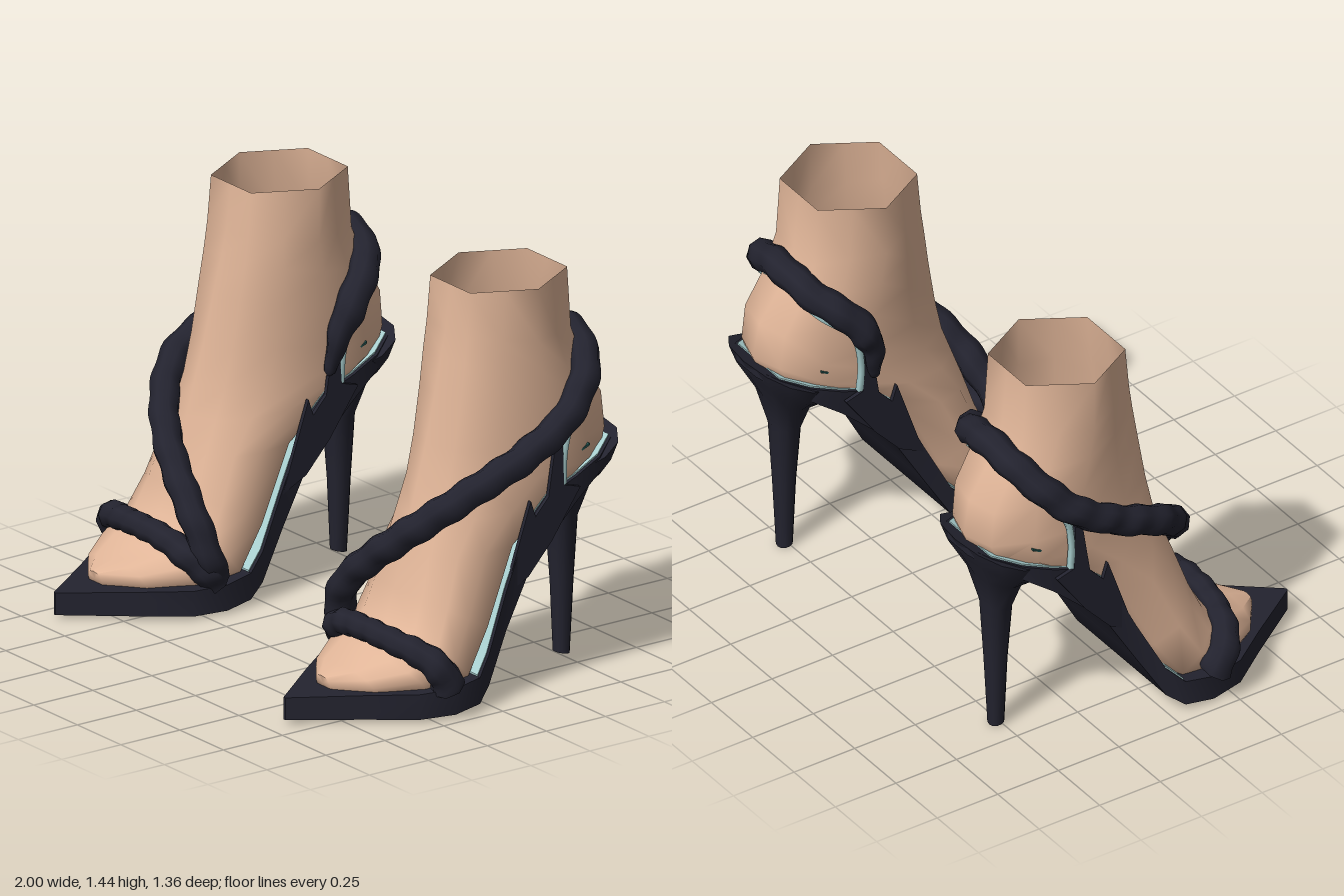
import * as THREE from 'three';
import { toCreasedNormals, mergeVertices } from 'three/addons/utils/BufferGeometryUtils.js';

// Skin a list of equal-length rings of [x, y, z] points, optionally capping the ends.
function skin(rings, capStart, capEnd) {
  const n = rings[0].length, pos = rings.flat(2), idx = [];
  for (let i = 0; i < rings.length - 1; i++) {
    for (let j = 0; j < n; j++) {
      const k = (j + 1) % n, a = i * n + j, b = i * n + k;
      idx.push(a, b, a + n, b, b + n, a + n);
    }
  }
  const cap = (r, start) => {
    const c = pos.length / 3;
    for (let d = 0; d < 3; d++) pos.push(rings[r].reduce((s, p) => s + p[d], 0) / n);
    for (let j = 0; j < n; j++) {
      const a = r * n + j, b = r * n + (j + 1) % n;
      if (start) idx.push(c, b, a); else idx.push(c, a, b);
    }
  };
  if (capStart) cap(0, true);
  if (capEnd) cap(rings.length - 1, false);
  const g = new THREE.BufferGeometry();
  g.setAttribute('position', new THREE.Float32BufferAttribute(pos, 3));
  g.setIndex(idx);
  return g;
}

// Tilted 12-point ring: front point, back point, half width, centre x,
// how six-sided it is (0 to 1) and how square its back half is (0 to 1).
function ring([fz, fy, bz, by, hw, cx, hex = 0, square = 0]) {
  return Array.from({ length: 12 }, (_, j) => {
    const a = j / 12 * Math.PI * 2, s = Math.sin(a), c = Math.cos(a), h = Math.cos(Math.PI / 6);
    const e = 0.9 - (s < 0.01 ? 0.4 * square : 0), k = j % 2 ? h : 1;
    const t = THREE.MathUtils.lerp(Math.sign(s) * Math.abs(s) ** e, s * k / h, hex);
    const u = THREE.MathUtils.lerp(Math.sign(c) * Math.abs(c) ** e, c * k, hex);
    return [cx + hw * u, (fy + by) / 2 + (fy - by) / 2 * t, (fz + bz) / 2 + (fz - bz) / 2 * t];
  });
}

// Rectangular section across the shoe: z, top, bottom, inner x, outer x.
const slab = ([z, t, b, l, r]) => [[r, t, z], [r, b, z], [l, b, z], [l, t, z]];

const curveOf = points => new THREE.CatmullRomCurve3(points.map(p => new THREE.Vector3(...p)));

// Lumpy rope-like strap with closed ends; width(t) scales the radius along it.
function strap(points, radius, seg, lumps, width) {
  const curve = curveOf(points);
  const sides = 8, g = new THREE.TubeGeometry(curve, seg, radius, sides), p = g.attributes.position;
  const v = new THREE.Vector3();
  for (let i = 0; i < p.count; i++) {
    const r = Math.floor(i / (sides + 1)), t = r / seg, c = curve.getPointAt(t);
    const twist = (i % (sides + 1)) / sides * Math.PI * 2;
    const f = r === 0 || r === seg ? 0 : width(t) * (1 + 0.07 * Math.sin(t * lumps * Math.PI * 2 + twist));
    v.fromBufferAttribute(p, i).sub(c).multiplyScalar(f).add(c);
    p.setXYZ(i, v.x, v.y, v.z);
  }
  return g;
}

const FOOT = [
  [-0.05, 1.43, -0.46, 1.44, 0.23, 0.63, 1], [-0.03, 1.27, -0.48, 1.22, 0.23, 0.63, 0.8],
  [-0.01, 1.18, -0.54, 1.08, 0.23, 0.63, 0.6], [0.02, 1.05, -0.62, 0.96, 0.228, 0.635, 0.4],
  [0.06, 0.88, -0.645, 0.83, 0.222, 0.638, 0.2], [0.1, 0.74, -0.62, 0.765, 0.22, 0.64, 0, 0.3],
  [0.13, 0.63, -0.42, 0.675, 0.222, 0.64, 0, 0.7], [0.16, 0.52, -0.2, 0.53, 0.23, 0.642, 0, 1],
  [0.2, 0.39, -0.06, 0.245, 0.252, 0.648, 0, 1], [0.24, 0.29, 0.05, 0.09, 0.272, 0.655, 0, 1],
  [0.34, 0.2, 0.22, 0.07, 0.255, 0.655, 0, 1], [0.44, 0.165, 0.39, 0.07, 0.165, 0.655, 0, 1],
  [0.515, 0.14, 0.5, 0.085, 0.04, 0.655, 0, 1],
];
const SOLE = [
  [0.675, 0.095, 0.015, 0.655, 0.665], [0.45, 0.1, 0.013, 0.48, 0.82], [0.3, 0.103, 0.012, 0.37, 0.93],
  [0.17, 0.105, 0.012, 0.35, 0.96], [0.06, 0.12, 0.025, 0.365, 0.95], [0, 0.18, 0.07, 0.38, 0.92],
  [-0.1, 0.38, 0.24, 0.4, 0.885], [-0.2, 0.59, 0.41, 0.412, 0.87], [-0.3, 0.68, 0.52, 0.418, 0.862],
  [-0.42, 0.72, 0.63, 0.425, 0.855], [-0.53, 0.765, 0.71, 0.44, 0.84], [-0.62, 0.8, 0.76, 0.5, 0.78],
  [-0.67, 0.82, 0.79, 0.58, 0.7],
];
const HEEL = [
  [-0.4, 0.7, -0.68, 0.825, 0.215, 0.64], [-0.42, 0.64, -0.655, 0.755, 0.19, 0.64],
  [-0.44, 0.6, -0.6, 0.65, 0.115, 0.64], [-0.46, 0.5, -0.565, 0.51, 0.062, 0.64],
  [-0.475, 0.27, -0.553, 0.27, 0.042, 0.64], [-0.485, 0.01, -0.54, 0, 0.03, 0.64],
];
const TOE_STRAP = [
  [0.93, 0.1, 0.18], [0.94, 0.17, 0.215], [0.9, 0.22, 0.255], [0.78, 0.25, 0.295], [0.65, 0.26, 0.31],
  [0.52, 0.25, 0.305], [0.43, 0.21, 0.28], [0.395, 0.16, 0.23], [0.4, 0.1, 0.18],
];
const ANKLE_STRAP = [
  [0.4, 0.1, 0.18], [0.385, 0.23, 0.235], [0.44, 0.36, 0.255], [0.54, 0.46, 0.24], [0.67, 0.57, 0.195],
  [0.79, 0.68, 0.11], [0.865, 0.77, 0], [0.89, 0.855, -0.18], [0.885, 0.965, -0.36], [0.81, 1.1, -0.49],
  [0.64, 1.175, -0.54], [0.47, 1.12, -0.5], [0.385, 1.03, -0.4], [0.378, 0.91, -0.33], [0.41, 0.74, -0.3],
];
const STRAP_LINING = [
  [0.862, 0.71, -0.355], [0.868, 0.82, -0.355], [0.868, 0.92, -0.38], [0.81, 1.03, -0.49], [0.635, 1.11, -0.53],
  [0.465, 1.05, -0.5], [0.4, 0.95, -0.39], [0.404, 0.82, -0.355], [0.415, 0.71, -0.355],
];
// Side panel outline as [distance back, height].
const PANEL = [
  [0.1, 0.36], [0.21, 0.68], [0.23, 0.62], [0.285, 0.68], [0.315, 0.87], [0.345, 0.88],
  [0.35, 0.71], [0.42, 0.69], [0.3, 0.52], [0.2, 0.41],
];

export function createModel() {
  const model = new THREE.Group();
  const mat = (name, color, side = THREE.FrontSide) => {
    const m = new THREE.MeshStandardMaterial({ color, side });
    m.name = name;
    return m;
  };
  const skinTone = mat('skin', 0xe0b598, THREE.DoubleSide);
  const navy = mat('dark navy', 0x23232f);
  const pale = mat('pale aqua', 0xa9cfcf);
  const brown = mat('dark brown', 0x5a3826);
  const teal = mat('dark teal', 0x23514d);

  for (const side of [1, -1]) {
    const group = new THREE.Group();
    group.name = side > 0 ? 'leftShoeAndFoot' : 'rightShoeAndFoot';
    model.add(group);

    // Mirrors the part for the right foot, then sharpens its creases.
    const add = (name, geometry, material, crease = 0.6) => {
      let g = geometry.index ? geometry : mergeVertices(geometry);
      if (side < 0) {
        g.scale(-1, 1, 1);
        g.setIndex(Array.from(g.index.array).reverse());
      }
      g = toCreasedNormals(g, crease);
      const mesh = new THREE.Mesh(g, material);
      mesh.name = name;
      group.add(mesh);
    };

    // Foot and ankle, open at the top
    add('foot', skin(FOOT.map(ring), false, true), skinTone, 1.3);

    // Platform sole, thin insole edge and stiletto heel
    add('sole', skin(SOLE.map(slab), true, true), navy, 0.5);
    const insole = SOLE.slice(4, -1).map(([z, t, , l, r]) => slab([z, t + 0.006, t - 0.02, l + 0.014, r - 0.014]));
    add('insole', skin(insole, true, true), pale);
    add('heel', skin(HEEL.map(ring), true, true), navy, 0.8);

    // Lining inside the ankle opening
    const lining = rows => skin(rows.map(([z, y]) => slab([z, y, y - 0.008, 0.445, 0.835])), true, true);
    add('frontLining', lining([[-0.06, 0.42], [-0.15, 0.57], [-0.29, 0.73]]), brown);
    add('heelLining', lining([[-0.29, 0.73], [-0.37, 0.77], [-0.49, 0.82]]), teal);

    // Straps, with a pale edge showing below the ankle strap
    add('toeStrap', strap(TOE_STRAP, 0.045, 48, 9, t => 1 + 0.4 * (2 * t - 1) ** 2), navy, 1.1);
    add('ankleStrap', strap(ANKLE_STRAP, 0.055, 110, 18, t => Math.min(1, 0.3 + (1 - t) * 7)), navy, 1.1);
    add('ankleStrapLining', new THREE.TubeGeometry(curveOf(STRAP_LINING), 48, 0.014, 5), pale, 1.3);

    // Thin side panels tying the sole to the ankle strap
    for (const x of [0.4, 0.862]) {
      const shape = new THREE.Shape(PANEL.map(p => new THREE.Vector2(...p)));
      const g = new THREE.ExtrudeGeometry(shape, { depth: 0.015, bevelEnabled: false });
      g.rotateY(Math.PI / 2).translate(x, 0, 0);
      add(x < 0.6 ? 'innerPanel' : 'outerPanel', g, navy, 0.3);
    }
  }
  return model;
}
